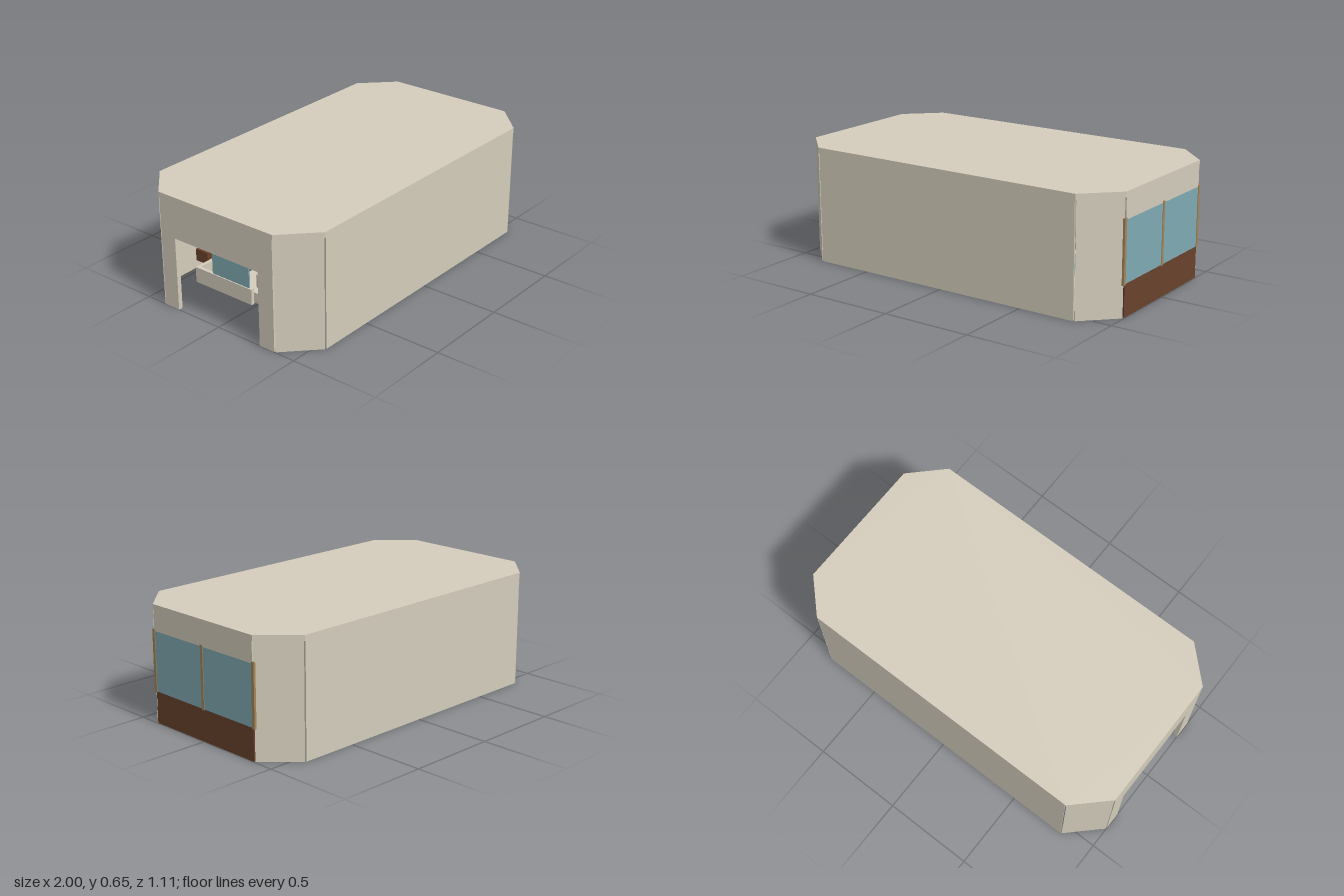
import * as THREE from 'three';

const mat = (name, color) => Object.assign(new THREE.MeshStandardMaterial({ color }), { name });

export function createModel() {
  const root = new THREE.Group();
  root.name = 'spaRoom';
  const cream = mat('cream', 0xd5cdbc), wallCream = mat('wallCream', 0xd3cdbb), glass = mat('blueGlass', 0x80abb3),
    wood = mat('brownWood', 0x69422c), frame = mat('tanFrame', 0xa3865a), teal = mat('teal', 0x2f8583),
    water = mat('paleTeal', 0x76a29c), deepTeal = mat('deepTeal', 0x1f5555), grey = mat('grey', 0xc2c0ba);

  const add = (name, geo, material, x = 0, y = 0, z = 0, parent = root) => {
    const m = new THREE.Mesh(geo, material);
    m.name = name;
    m.position.set(x, y, z);
    parent.add(m);
    return m;
  };
  // box given by its minimum and maximum on each axis
  const span = (name, material, x0, x1, y0, y1, z0, z1, parent = root) =>
    add(name, new THREE.BoxGeometry(x1 - x0, y1 - y0, z1 - z0), material,
      (x0 + x1) / 2, (y0 + y1) / 2, (z0 + z1) / 2, parent);
  const tube = (name, pts, radius, material, x, y, z, parent = root) => {
    const path = new THREE.CatmullRomCurve3(pts.map(p => new THREE.Vector3(...p)));
    return add(name, new THREE.TubeGeometry(path, 14, radius, 8), material, x, y, z, parent);
  };
  // plan outline raised from y0 to y1; points are [x, z]
  const raise = (shape, y0, y1) => {
    const g = new THREE.ExtrudeGeometry(shape, { depth: y1 - y0, bevelEnabled: false, curveSegments: 10 });
    return g.rotateX(-Math.PI / 2).translate(0, y0, 0);
  };
  const plan = pts => new THREE.Shape(pts.map(([x, z]) => new THREE.Vector2(x, -z)));

  // eight-sided shell, with a fine seam between neighbouring walls
  const octagon = t => {
    const l = -1 + t, r = 0.997 - t, k = t * 0.414;
    const a = 0.38 - k, b = 0.82 - k, c = 0.555 - t;
    return [[r, a], [b, c], [-b, c], [l, a], [l, -a], [-b, -c], [b, -c], [r, -a]];
  };
  const outer = octagon(0), inner = octagon(0.025);
  const toward = (p, q) => {
    const d = Math.hypot(q[0] - p[0], q[1] - p[1]);
    return [0, 1].map(k => p[k] + (q[k] - p[k]) * 0.004 / d);
  };
  const wall = (name, i, y0, y1, material) => {
    const [a, b, c, d] = [outer[i], outer[(i + 1) % 8], inner[(i + 1) % 8], inner[i]];
    add(name, raise(plan([toward(a, b), toward(b, a), toward(c, d), toward(d, c)]), y0, y1), material);
  };
  add('roof', raise(plan(outer), 0.615, 0.645), cream);
  ['frontLeftCorner', 'frontWall', 'frontRightCorner'].forEach((n, i) => wall(n, i, 0, 0.615, wallCream));
  ['backRightCorner', 'backWall', 'backLeftCorner'].forEach((n, i) => wall(n, i + 4, 0, 0.615, wallCream));

  // window end
  wall('windowSill', 7, 0, 0.175, wood);
  wall('windowGlass', 7, 0.175, 0.503, glass);
  wall('windowHeader', 7, 0.503, 0.615, wallCream);
  for (const z of [-0.38, 0, 0.38]) span('windowPost', frame, 0.982, 1, 0.17, 0.513, z - 0.009, z + 0.009);

  // doorway end
  wall('doorHeader', 3, 0.413, 0.615, wallCream);
  span('doorJamb', wallCream, -1, -0.975, 0, 0.413, 0.28, 0.376);
  span('doorJamb', wallCream, -1, -0.975, 0, 0.413, -0.376, -0.28);

  // two tubs in hollow surrounds
  const rounded = (w, d, r, Type) => {
    const s = new Type(), x = w / 2 - r, z = d / 2 - r;
    s.absarc(x, z, r, 0, Math.PI / 2).absarc(-x, z, r, Math.PI / 2, Math.PI);
    s.absarc(-x, -z, r, Math.PI, Math.PI * 1.5).absarc(x, -z, r, Math.PI * 1.5, Math.PI * 2);
    s.closePath();
    return s;
  };
  for (const x of [0.4, -0.305]) {
    const tub = new THREE.Group();
    tub.name = 'tub';
    tub.position.set(x, 0, 0.19);
    root.add(tub);
    const skirt = rounded(0.7, 0.54, 0.05, THREE.Shape);
    skirt.holes.push(rounded(0.67, 0.51, 0.04, THREE.Path));
    add('tubSurround', raise(skirt, 0, 0.13), cream, 0, 0, 0, tub);
    const deck = rounded(0.67, 0.51, 0.04, THREE.Shape);
    deck.holes.push(new THREE.Path().absellipse(0, 0, 0.3, 0.21, 0, Math.PI * 2));
    add('tubDeck', raise(deck, 0.11, 0.13), cream, 0, 0, 0, tub);
    // teal sides with a paler floor and water surface
    const bowl = new THREE.CylinderGeometry(1, 0.97, 0.1, 40).scale(0.315, 1, 0.22);
    add('tubBowl', bowl, [teal, water, water], 0, 0.065, 0.005, tub);
    for (const [fx, fz] of [[0.17, -0.09], [-0.13, -0.13], [0.13, 0.13], [-0.17, 0.1]])
      span('tubFoot', deepTeal, fx - 0.045, fx + 0.045, 0.006, 0.016, fz - 0.04, fz + 0.04, tub);
    span('tubPump', teal, -0.33, -0.24, 0.008, 0.06, 0, 0.11, tub);
    // curved spout on the rear rim
    tube('spout', [[0, 0.13, -0.235], [0, 0.2, -0.235], [0, 0.22, -0.2], [0, 0.19, -0.17]], 0.005, wood, 0, 0, 0, tub);
  }
  span('tubDivider', cream, 0.038, 0.058, 0.13, 0.26, -0.07, 0.14);

  // step beside the tubs
  span('step', grey, -0.7, -0.48, 0, 0.012, -0.2, 0.02);
  span('stepBody', cream, -0.7, -0.48, 0.012, 0.06, -0.2, 0.02);

  // barrel armchair with a curved back
  const chair = new THREE.Group();
  chair.name = 'armchair';
  chair.position.set(0.75, 0, -0.34);
  chair.rotation.y = -0.7;
  root.add(chair);
  const arc = new THREE.Shape().absarc(0, 0, 0.1, -0.3, Math.PI + 0.3);
  arc.absarc(0, 0, 0.08, Math.PI + 0.3, -0.3, true);
  add('chairBack', raise(arc, 0.04, 0.17), wood, 0, 0, 0, chair);
  add('chairSeat', new THREE.CylinderGeometry(0.08, 0.08, 0.04, 24), wood, 0, 0.07, 0, chair);
  span('chairBase', deepTeal, -0.045, 0.045, 0.015, 0.05, -0.03, 0.03, chair);

  // round side table with a crossed foot
  add('tableTop', new THREE.CylinderGeometry(0.068, 0.062, 0.035, 24), wood, 0.5, 0.1, -0.36);
  add('tableStem', new THREE.CylinderGeometry(0.015, 0.015, 0.08, 12), wood, 0.5, 0.05, -0.36);
  span('tableFoot', wood, 0.455, 0.545, 0, 0.012, -0.37, -0.35);
  span('tableFoot', wood, 0.49, 0.51, 0, 0.012, -0.405, -0.315);

  // bench against the back wall
  span('bench', wood, -0.11, 0.11, 0.02, 0.11, -0.525, -0.41);

  // washing corner: basin, shower pole and low screen
  const basin = [[0, 0], [0.042, 0], [0.052, 0.075], [0.068, 0.08], [0.068, 0.1], [0.055, 0.1], [0.045, 0.04], [0, 0.03]]
    .map(p => new THREE.Vector2(...p));
  add('basin', new THREE.LatheGeometry(basin, 24), cream, -0.38, 0, -0.39);
  tube('showerPole', [[0, 0, 0], [0, 0.14, 0], [-0.02, 0.18, 0], [-0.05, 0.16, 0]], 0.005, wood, -0.34, 0, -0.28);
  span('screenBase', cream, -0.73, -0.71, 0, 0.09, -0.42, -0.02);
  span('screenBase', cream, -0.71, -0.46, 0, 0.09, -0.42, -0.4);
  span('screenGlass', glass, -0.724, -0.716, 0.09, 0.25, -0.3, -0.04);
  span('cabinet', wood, -0.62, -0.52, 0.05, 0.12, -0.525, -0.44);
  return root;
}
